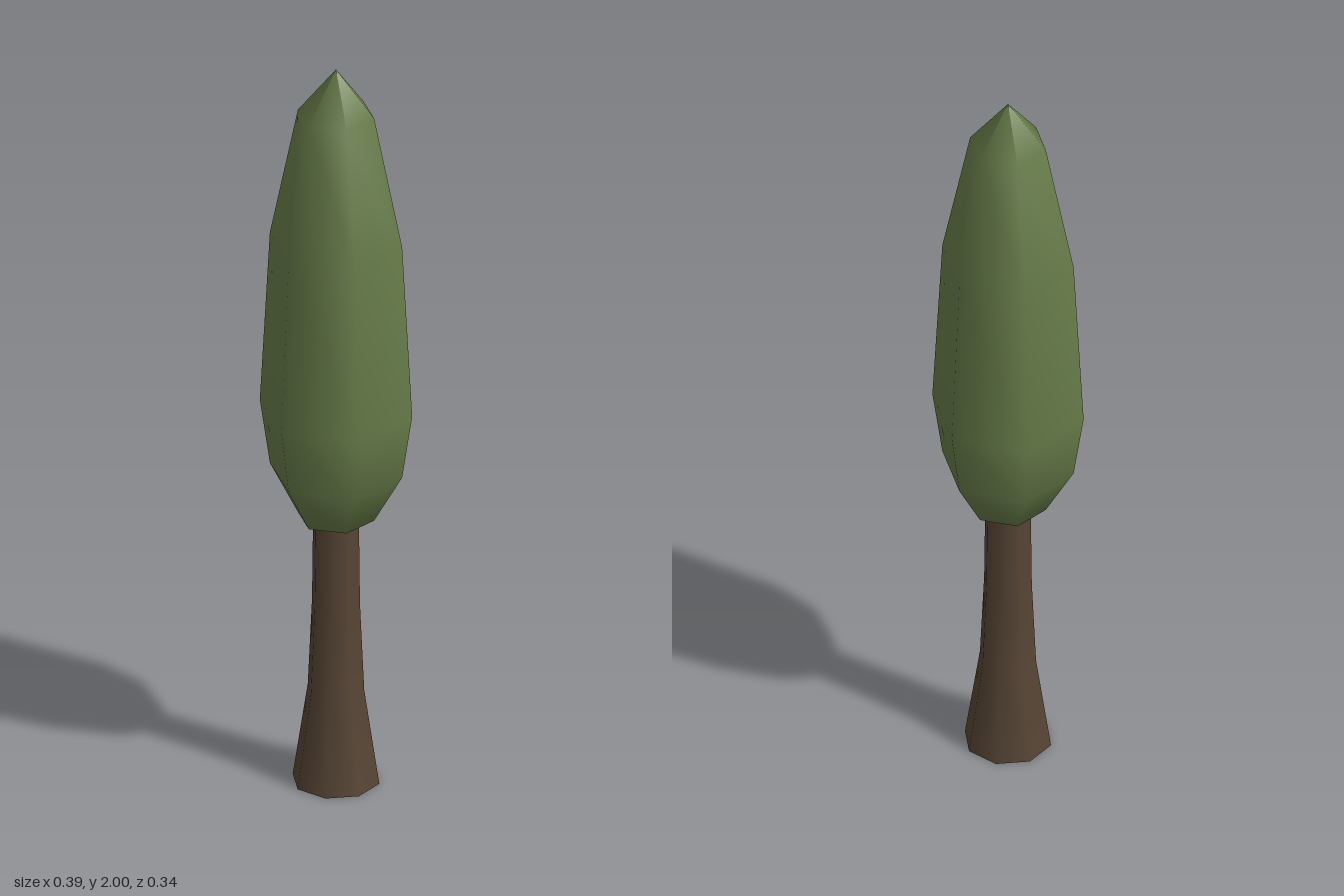
import * as THREE from 'three';

// Revolve a [radius, height] profile into a faceted, smooth-shaded solid
function turned(name, profile, sides, color) {
  const points = profile.map(([r, y]) => new THREE.Vector2(r, y));
  const geometry = new THREE.LatheGeometry(points, sides, Math.PI / 2);
  const material = new THREE.MeshStandardMaterial({ color, side: THREE.DoubleSide });
  const mesh = new THREE.Mesh(geometry, material);
  mesh.name = name;
  return mesh;
}

export function createModel() {
  const tree = new THREE.Group();
  tree.name = 'tree';

  // Flared eight-sided trunk, open underneath
  tree.add(turned('trunk', [
    [0.112, 0], [0.073, 0.26], [0.062, 0.5], [0.059, 0.76],
  ], 8, 0x574535));

  // Tall six-sided crown, pointed at the top
  tree.add(turned('crown', [
    [0, 0.7], [0.0985, 0.74], [0.171, 0.87], [0.197, 1.045],
    [0.171, 1.52], [0.0985, 1.875], [0, 2],
  ], 6, 0x687d4a));

  return tree;
}
